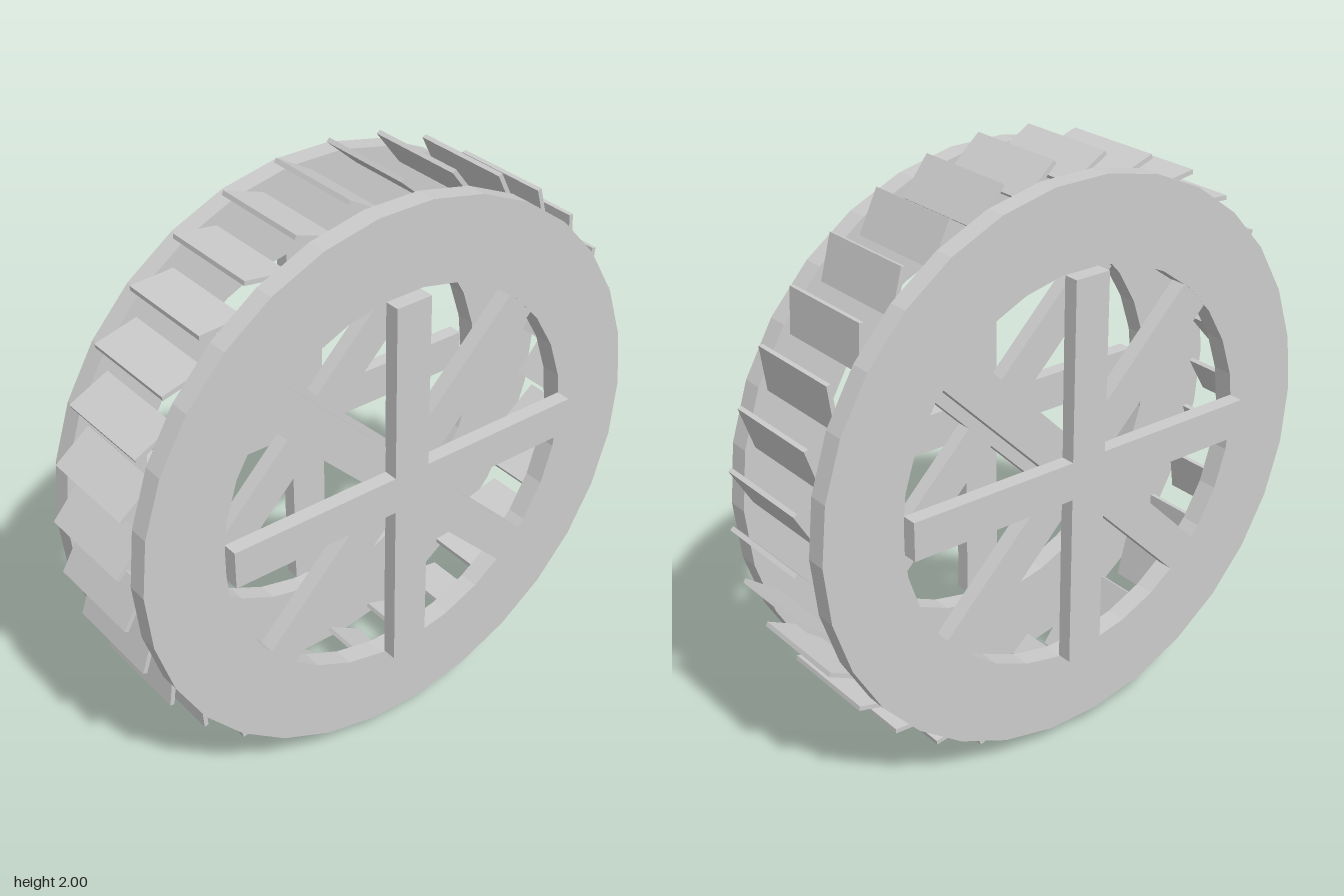
import * as THREE from 'three';

const material = new THREE.MeshStandardMaterial({ color: 0xcccccc, flatShading: true });
const rad = THREE.MathUtils.degToRad;

function box(name, w, h, d, x, y, z, angle) {
  const mesh = new THREE.Mesh(new THREE.BoxGeometry(w, h, d), material);
  mesh.name = name;
  mesh.position.set(x, y, z);
  mesh.rotation.z = angle;
  return mesh;
}

// Regular polygon with a vertex on the x axis
function polygon(radius, sides) {
  return Array.from({ length: sides }, (_, i) => {
    const a = (i / sides) * Math.PI * 2;
    return new THREE.Vector2(radius * Math.cos(a), radius * Math.sin(a));
  });
}

export function createModel() {
  const wheel = new THREE.Group();
  wheel.name = 'paddleWheel';

  // Flat 30-sided rim
  const rimShape = new THREE.Shape(polygon(0.952, 30));
  rimShape.holes.push(new THREE.Path(polygon(0.674, 30).reverse()));
  const rimGeometry = new THREE.ExtrudeGeometry(rimShape, { depth: 0.07, bevelEnabled: false });

  // One side frame at the front and one at the back
  for (const side of [1, -1]) {
    const frame = new THREE.Group();
    frame.name = side > 0 ? 'frontFrame' : 'backFrame';
    frame.position.set(-0.004, 1, 0);

    const rim = new THREE.Mesh(rimGeometry, material);
    rim.name = 'rim';
    rim.position.z = side > 0 ? 0.18 : -0.25;
    frame.add(rim);

    // Diagonal spokes lie flush with the rim, the upright cross lies on top
    for (const deg of [45, 135]) {
      frame.add(box('diagonalSpoke', 1.345, 0.13, 0.055, 0, 0, side * 0.222, rad(deg + 0.4)));
    }
    for (const deg of [0, 90]) {
      frame.add(box('crossSpoke', 1.335, 0.13, 0.052, 0, 0, side * 0.274, rad(deg + 0.4)));
    }
    wheel.add(frame);
  }

  // Slanted paddles between the rims
  const count = 32, length = 0.15, tipRadius = 0.995;
  for (let i = 0; i < count; i++) {
    const a = rad(-2.3) + (i / count) * Math.PI * 2;
    const lean = a + rad(51);
    const x = tipRadius * Math.cos(a) - (length / 2) * Math.cos(lean);
    const y = tipRadius * Math.sin(a) - (length / 2) * Math.sin(lean);
    wheel.add(box('paddle', length, 0.015, 0.358, x, 1 + y, 0, lean));
  }
  return wheel;
}
